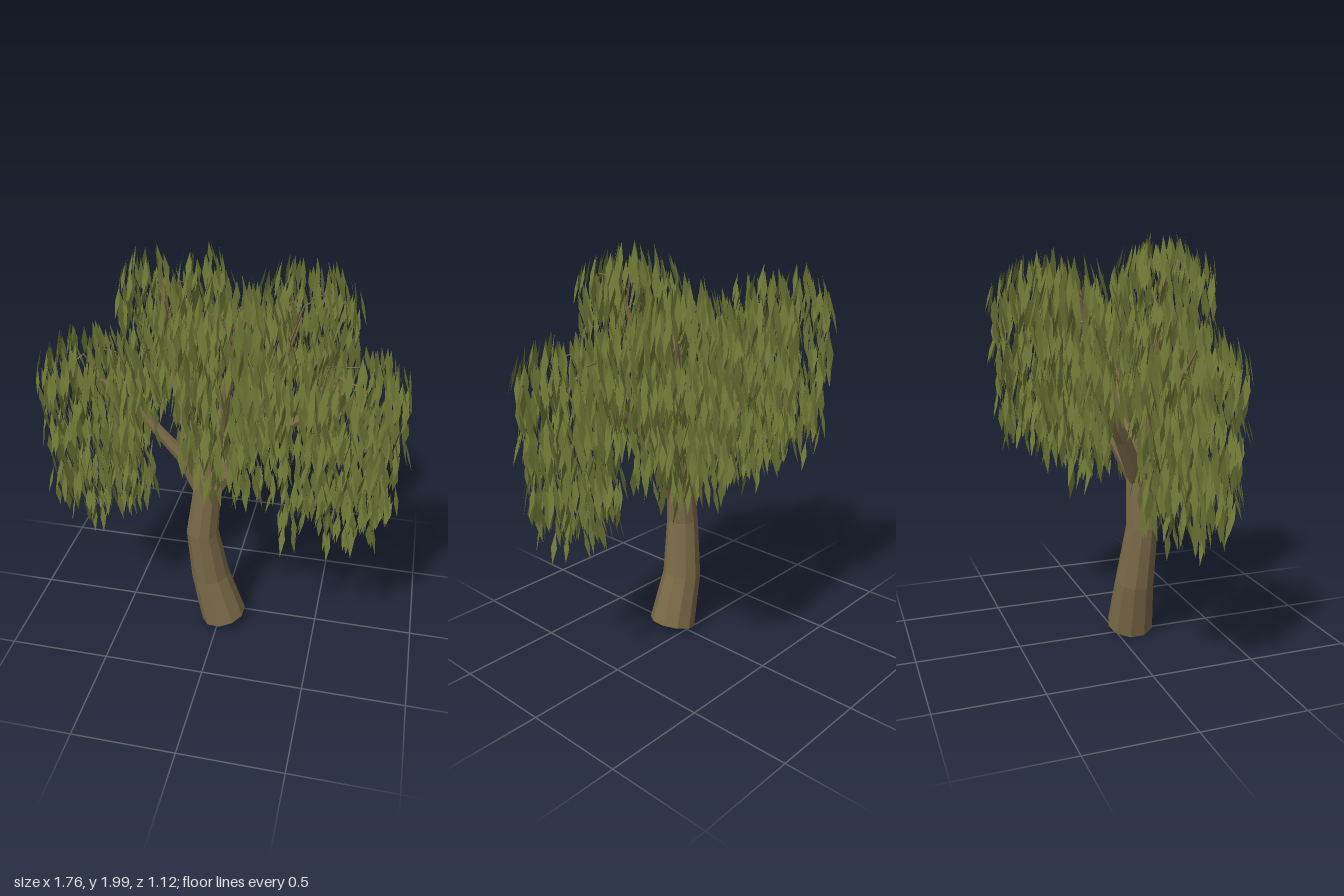
import * as THREE from 'three';
import { mergeGeometries } from 'three/addons/utils/BufferGeometryUtils.js';

const V = (x, y, z) => new THREE.Vector3(x, y, z);
const UP = V(0, 1, 0);

// Small seeded random generator
function seeded(seed) {
  return () => {
    seed = (seed * 16807) % 2147483647;
    return seed / 2147483647;
  };
}

// Faceted, tapering limb: rings of a cylinder moved onto the points [x, y, z, radius]
function limb(points, sides) {
  const n = points.length;
  const centres = points.map(p => V(p[0], p[1], p[2]));
  const turns = centres.map((_, i) => {
    const dir = centres[Math.min(i + 1, n - 1)].clone().sub(centres[Math.max(i - 1, 0)]).normalize();
    return new THREE.Quaternion().setFromUnitVectors(UP, dir);
  });
  const geo = new THREE.CylinderGeometry(1, 1, 1, sides, n - 1);
  const pos = geo.attributes.position;
  for (let i = 0; i < pos.count; i++) {
    const ring = Math.round((pos.getY(i) + 0.5) * (n - 1));
    const r = points[ring][3];
    const v = V(pos.getX(i) * r, 0, pos.getZ(i) * r).applyQuaternion(turns[ring]).add(centres[ring]);
    pos.setXYZ(i, v.x, v.y, v.z);
  }
  const flat = geo.toNonIndexed();
  flat.computeVertexNormals();
  return flat;
}

// One leaf: a flat pointed blade of two triangles sharing its midrib
function addLeaf(out, base, azimuth, tilt, length, width) {
  const outward = V(Math.cos(azimuth), 0, Math.sin(azimuth));
  const dir = outward.clone().multiplyScalar(Math.sin(tilt)).addScaledVector(UP, -Math.cos(tilt));
  const side = new THREE.Vector3().crossVectors(dir, outward).normalize();
  const mid = base.clone().addScaledVector(dir, length * 0.5);
  const tip = base.clone().addScaledVector(dir, length);
  const left = mid.clone().addScaledVector(side, width / 2);
  const right = mid.clone().addScaledVector(side, -width / 2);
  const first = out.positions.length / 3;
  for (const p of [base, left, tip, right]) out.positions.push(p.x, p.y, p.z);
  out.indices.push(first, first + 2, first + 1, first, first + 3, first + 2);
}

// Hanging strands filling a dome-topped lobe
function addLobe(out, rand, [x, z, radius, top, bottom, count]) {
  for (let s = 0; s < count; s++) {
    const f = Math.sqrt(0.06 + 0.94 * (s + rand()) / count);
    const angle = s * 2.39996 + rand() * 0.5;
    const dx = Math.cos(angle), dz = Math.sin(angle);
    const yTop = top - 0.15 * f * f - rand() * 0.06;
    const yEnd = bottom + 0.14 + 0.14 * f * f + rand() * 0.18;
    const steps = Math.max(3, Math.round((yTop - yEnd) / 0.085));
    for (let k = 0; k <= steps; k++) {
      // strands arch outward at the top, then hang almost straight
      const r = radius * f + 0.012 * Math.sin(Math.min(k / 4, 1) * Math.PI) - 0.02 * k / steps;
      const base = V(x + dx * r, yTop + (yEnd - yTop) * k / steps, z + dz * r);
      const azimuth = angle + (k % 3) * 2.094 + (rand() - 0.5) * 0.9;
      addLeaf(out, base, azimuth, 0.12 + rand() * 0.18, 0.135 + rand() * 0.04, 0.026 + rand() * 0.007);
    }
  }
}

// All leaves of one bough as a single geometry
function foliage(lobes, seed) {
  const rand = seeded(seed);
  const out = { positions: [], indices: [] };
  for (const lobe of lobes) addLobe(out, rand, lobe);
  const geo = new THREE.BufferGeometry();
  geo.setAttribute('position', new THREE.Float32BufferAttribute(out.positions, 3));
  geo.setIndex(out.indices);
  geo.computeVertexNormals();
  return geo;
}

// Bough with a few thin twigs spreading up into its crown
function branch(path, [, , radius, top], seed) {
  const parts = [limb(path, 7)];
  const [sx, sy, sz] = path[2], [ex, ey, ez] = path[3];
  for (let i = 0; i < 3; i++) {
    const t = 0.5 + 0.2 * i, a = i * 2.1 + seed;
    const x = sx + (ex - sx) * t, y = sy + (ey - sy) * t, z = sz + (ez - sz) * t;
    const c = Math.cos(a) * radius, d = Math.sin(a) * radius;
    parts.push(limb([[x, y, z, 0.008], [x + c * 0.3, (y + top) / 2, z + d * 0.3, 0.005],
      [ex + c * 0.45, top - 0.18, ez + d * 0.45, 0.003]], 3));
  }
  return mergeGeometries(parts);
}

// Each bough: limb points, and foliage lobes [x, z, radius, top, bottom, strands]
const BOUGHS = [
  { name: 'left', seed: 1111,
    path: [[-0.06, 0.78, 0.1, 0.045], [0.1, 1.03, 0.11, 0.034], [0.33, 1.25, 0.12, 0.023], [0.58, 1.45, 0.12, 0.009]],
    lobes: [[0.62, 0.12, 0.245, 1.7, 0.58, 62], [0.37, 0.25, 0.11, 1.68, 0.62, 12]] },
  { name: 'right', seed: 2323,
    path: [[-0.06, 0.78, 0.1, 0.045], [-0.18, 1.0, 0.09, 0.034], [-0.36, 1.2, 0.09, 0.023], [-0.58, 1.4, 0.1, 0.009]],
    lobes: [[-0.61, 0.1, 0.245, 1.66, 0.56, 62], [-0.4, 0.13, 0.11, 1.62, 0.6, 14]] },
  { name: 'front', seed: 3737,
    path: [[-0.06, 0.8, 0.1, 0.045], [0, 1.1, 0.15, 0.034], [0.06, 1.4, 0.22, 0.022], [0.12, 1.72, 0.29, 0.009]],
    lobes: [[0.09, 0.28, 0.25, 2.02, 0.88, 68]] },
  { name: 'backLeft', seed: 5353,
    path: [[-0.06, 0.78, 0.1, 0.05], [0.08, 1.04, 0, 0.04], [0.2, 1.3, -0.12, 0.026], [0.32, 1.62, -0.24, 0.009]],
    lobes: [[0.33, -0.28, 0.255, 1.92, 0.8, 66], [0.12, -0.12, 0.08, 1.8, 0.95, 7]] },
  { name: 'backRight', seed: 7171,
    path: [[-0.06, 0.78, 0.1, 0.048], [-0.17, 1.04, -0.03, 0.038], [-0.28, 1.27, -0.18, 0.026], [-0.33, 1.6, -0.27, 0.009]],
    lobes: [[-0.44, -0.33, 0.165, 1.91, 0.84, 30], [-0.17, -0.34, 0.14, 1.94, 0.88, 23],
      [-0.28, -0.11, 0.12, 1.86, 1.0, 16]] },
];

export function createModel() {
  const bark = new THREE.MeshStandardMaterial({ color: 0x7a6947 });
  bark.name = 'bark';
  const leaf = new THREE.MeshStandardMaterial({ color: 0x6f7836, side: THREE.DoubleSide });
  leaf.name = 'leaf';

  const tree = new THREE.Group();
  tree.name = 'willowTree';
  const add = (name, geo, material) => {
    const mesh = new THREE.Mesh(geo, material);
    mesh.name = name;
    tree.add(mesh);
  };

  // Leaning, bent trunk
  add('trunk', limb([[0.02, 0.032, 0.083, 0.117], [-0.05, 0.29, 0.08, 0.097], [-0.083, 0.58, 0.105, 0.08],
    [-0.055, 0.85, 0.1, 0.067], [-0.045, 1.0, 0.08, 0.03]], 10), bark);

  // Boughs with their curtains of hanging leaves
  for (const { name, seed, path, lobes } of BOUGHS) {
    add(name + 'Branch', branch(path, lobes[0], seed), bark);
    add(name + 'Foliage', foliage(lobes, seed), leaf);
  }
  return tree;
}
